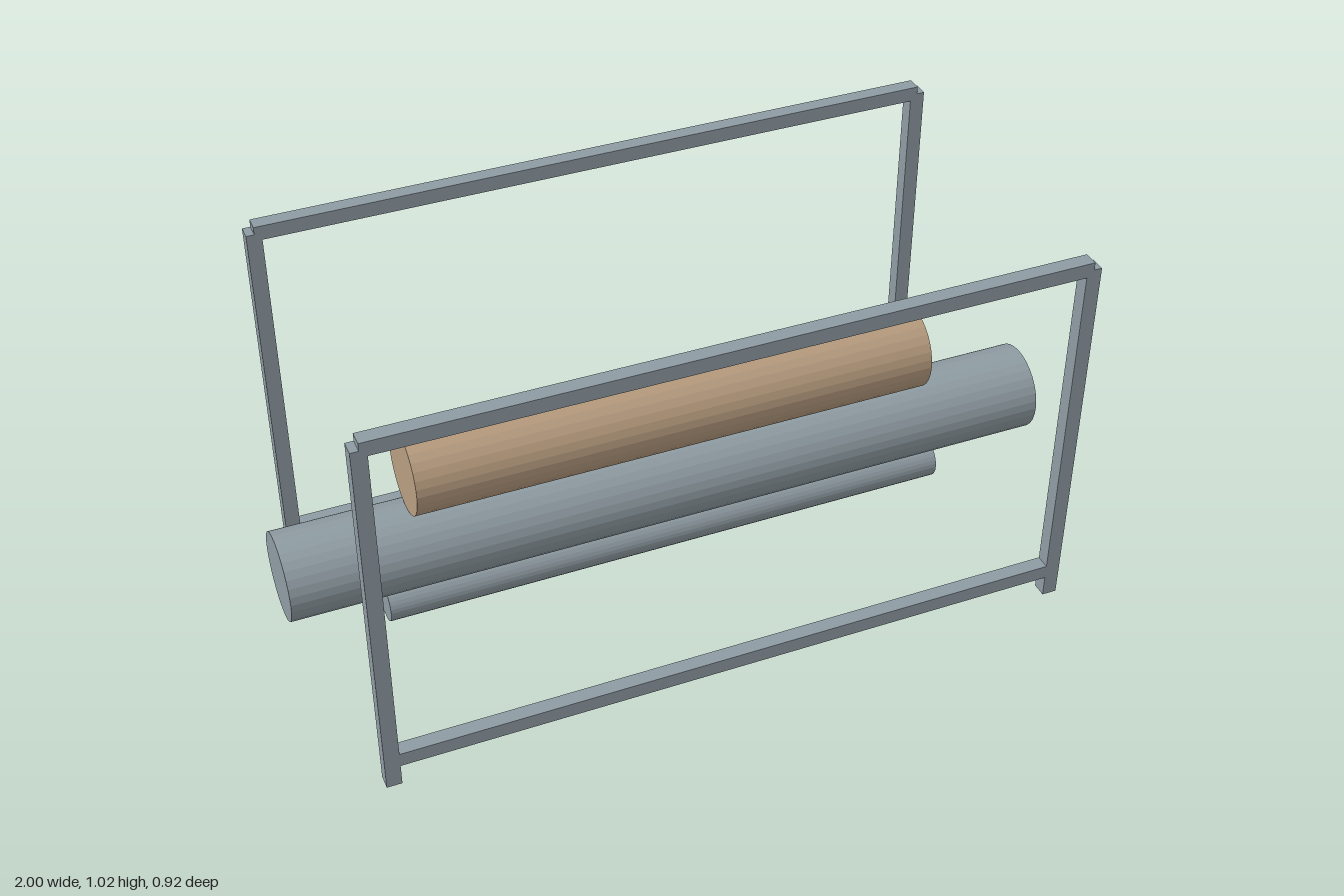
import * as THREE from 'three';

export function createModel() {
  const model = new THREE.Group();
  model.name = 'rollerStand';

  const steel = new THREE.MeshStandardMaterial({ color: 0x8f9ca3, flatShading: true });
  steel.name = 'blue grey steel';
  const tan = new THREE.MeshStandardMaterial({ color: 0xb89d80, flatShading: true });
  tan.name = 'tan roll';

  const add = (parent, name, geometry, material, x, y, z) => {
    const mesh = new THREE.Mesh(geometry, material);
    mesh.name = name;
    mesh.position.set(x, y, z);
    parent.add(mesh);
  };

  // Horizontal rollers stacked along the centre line
  const roller = (name, radius, length, y, material) => {
    const geometry = new THREE.CylinderGeometry(radius, radius, length, 32).rotateZ(Math.PI / 2);
    add(model, name, geometry, material, 0, y, 0);
  };
  roller('lowerRoller', 0.053, 1.5, 0.151, steel);
  roller('mainRoller', 0.112, 2, 0.315, steel);
  roller('upperRoll', 0.112, 1.35, 0.54, tan);

  // Matching front and back frames: two posts and two rails each
  const bar = 0.038;
  for (const [name, z] of [['frontFrame', 0.44], ['backFrame', -0.44]]) {
    const frame = new THREE.Group();
    frame.name = name;
    frame.position.z = z;
    for (const [side, s] of [['left', 1], ['right', -1]]) {
      add(frame, side + 'Post', new THREE.BoxGeometry(bar, 1, bar), steel, s * 0.876, 0.5, 0);
    }
    const rail = new THREE.BoxGeometry(1.75, bar, bar);
    add(frame, 'topRail', rail, steel, 0, 1.001, 0);
    add(frame, 'bottomRail', rail, steel, 0, 0.077, 0);
    model.add(frame);
  }

  return model;
}
